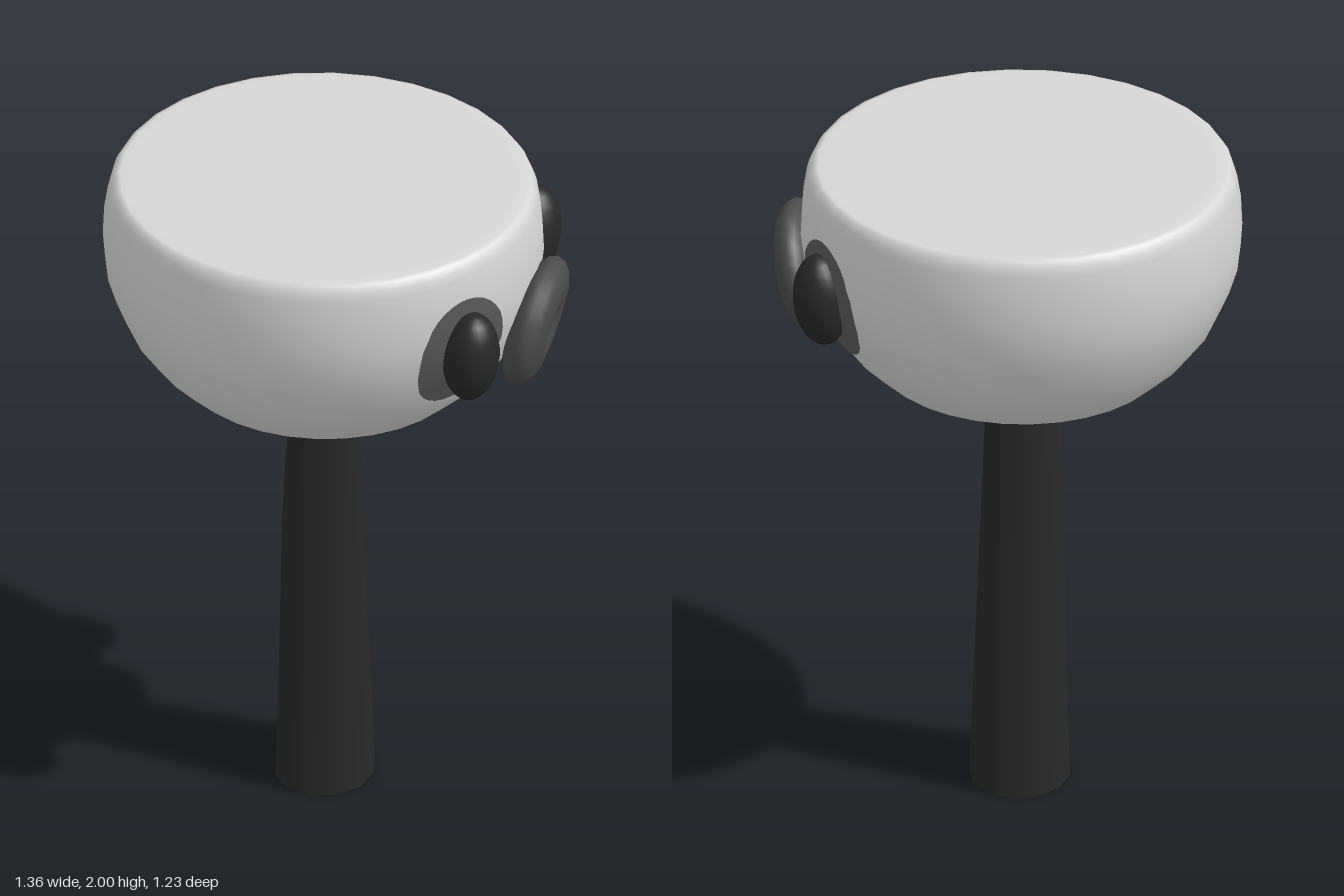
import * as THREE from 'three';

const paint = (name, color) => {
  const m = new THREE.MeshStandardMaterial({ color });
  m.name = name;
  return m;
};

// Head outline as [radius, height], from the underside up to the flat top
const PROFILE = [
  [0, 1.245], [0.09, 1.248], [0.2, 1.267], [0.3, 1.302], [0.42, 1.365], [0.5, 1.44],
  [0.56, 1.52], [0.605, 1.62], [0.63, 1.7], [0.64, 1.79], [0.636, 1.88], [0.625, 1.95],
  [0.618, 1.975], [0.605, 1.996], [0.59, 2], [0.56, 2], [0, 2],
];
const HEAD_X = -0.043;
const HEAD_Z_SCALE = 0.96;

function headRadius(y) {
  const i = PROFILE.findIndex((p) => p[1] >= y);
  const [r0, y0] = PROFILE[i - 1], [r1, y1] = PROFILE[i];
  return r0 + (r1 - r0) * (y - y0) / (y1 - y0);
}

// x of the head's face side at a given height and depth
function headFaceX(y, z) {
  const r = headRadius(y), d = z / HEAD_Z_SCALE;
  return HEAD_X + Math.sqrt(Math.max(0, r * r - d * d));
}

// Tilted oval laid over the curved face
function eyePatchGeometry(side) {
  const g = new THREE.RingGeometry(0.001, 1, 32, 5);
  g.scale(0.12, 0.185, 1);
  g.rotateY(Math.PI / 2);
  g.rotateX(side * 0.17);
  g.translate(0, 1.705, 0.007 + side * 0.336);
  const p = g.attributes.position;
  for (let i = 0; i < p.count; i++) p.setX(i, headFaceX(p.getY(i), p.getZ(i)) + 0.007);
  g.computeVertexNormals();
  return g;
}

// Tapered oval handle, slightly fuller on its back edge
function handleGeometry() {
  const g = new THREE.CylinderGeometry(0.096, 0.147, 1.3, 12, 8);
  g.translate(0, 0.65, 0);
  const p = g.attributes.position;
  for (let i = 0; i < p.count; i++) {
    const t = p.getY(i) / 1.3;
    const bulge = p.getX(i) < 0 ? 1 + 0.12 * Math.sin(Math.PI * t * t) : 1;
    p.setX(i, p.getX(i) * bulge);
    p.setZ(i, p.getZ(i) * (1.15 - 0.06 * t));
  }
  return g;
}

export function createModel() {
  const model = new THREE.Group();
  const pale = paint('pale grey', 0xd6d6d6);
  const black = paint('soft black', 0x282828);
  const noseGrey = paint('nose grey', 0x4c4c4c);
  const patchGrey = paint('patch grey', 0x5a5a5a);

  const add = (name, geometry, material, x = 0, y = 0, z = 0) => {
    const mesh = new THREE.Mesh(geometry, material);
    mesh.name = name;
    mesh.position.set(x, y, z);
    model.add(mesh);
    return mesh;
  };

  // Bowl-shaped head
  const points = PROFILE.map(([r, y]) => new THREE.Vector2(r, y));
  const head = add('head', new THREE.LatheGeometry(points, 32), pale, HEAD_X);
  head.scale.z = HEAD_Z_SCALE;

  add('handle', handleGeometry(), black, -0.037, 0, 0.005);

  // Eyes and the dark patches around them
  for (const side of [1, -1]) {
    const label = side > 0 ? 'front' : 'back';
    add(label + 'EyePatch', eyePatchGeometry(side), patchGrey);
    const eye = add(label + 'Eye', new THREE.SphereGeometry(1, 20, 14), black,
      0.493, 1.702, 0.012 + side * 0.352);
    eye.scale.set(0.083, 0.146, 0.092);
    eye.rotation.set(side * 0.09, 0, -0.09);
  }

  // Puffy round nose with a pinched centre, tipped slightly down
  const noseGeometry = new THREE.TorusGeometry(0.106, 0.102, 16, 24);
  noseGeometry.rotateY(Math.PI / 2);
  noseGeometry.scale(0.56, 0.92, 1);
  const nose = add('nose', noseGeometry, noseGrey, 0.593, 1.622, 0.005);
  nose.rotation.z = -0.23;

  return model;
}
